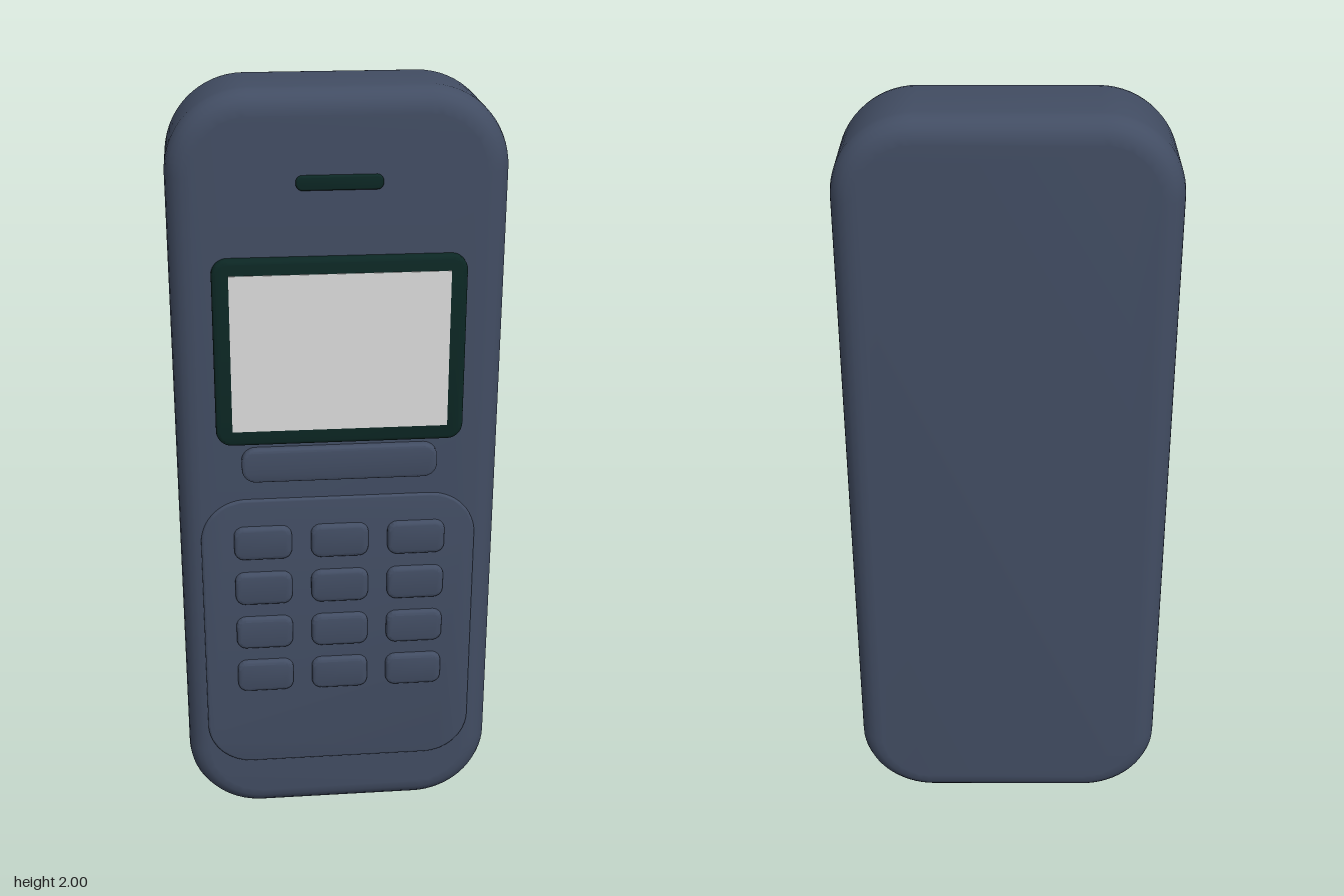
import * as THREE from 'three';
import { toCreasedNormals } from 'three/addons/utils/BufferGeometryUtils.js';

const shell = new THREE.MeshStandardMaterial({ color: 0x424d63 });
shell.name = 'slate blue shell';
const trim = new THREE.MeshStandardMaterial({ color: 0x0c2724 });
trim.name = 'dark green trim';
const glass = new THREE.MeshStandardMaterial({ color: 0xdcdcdc });
glass.name = 'pale grey screen';

// Rounded rectangle centred on the origin
function roundedRect(w, h, r) {
  const s = new THREE.Shape();
  const x = w / 2, y = h / 2;
  s.absarc(x - r, y - r, r, 0, Math.PI / 2);
  s.absarc(-x + r, y - r, r, Math.PI / 2, Math.PI);
  s.absarc(-x + r, -y + r, r, Math.PI, Math.PI * 1.5);
  s.absarc(x - r, -y + r, r, Math.PI * 1.5, Math.PI * 2);
  s.closePath();
  return s;
}

// Soft-edged slab from z0 to z1, with its centre at x, y
function slab(name, material, x, y, w, h, r, z0, z1, bevel, segments = 3) {
  const geo = new THREE.ExtrudeGeometry(roundedRect(w - 2 * bevel, h - 2 * bevel, r - bevel), {
    depth: z1 - z0 - 2 * bevel,
    bevelEnabled: true,
    bevelSize: bevel,
    bevelThickness: bevel,
    bevelSegments: segments,
    curveSegments: 8,
  });
  geo.translate(x, y, z0 + bevel);
  const mesh = new THREE.Mesh(toCreasedNormals(geo, 0.7), material);
  mesh.name = name;
  return mesh;
}

export function createModel() {
  const phone = new THREE.Group();
  phone.name = 'mobilePhone';

  // Main casing
  phone.add(slab('body', shell, 0, 1, 0.828, 2, 0.2, -0.17, 0.14, 0.058, 5));

  // Earpiece slot
  phone.add(slab('earpiece', trim, 0, 1.784, 0.21, 0.036, 0.016, 0.12, 0.15, 0.005));

  // Display frame and screen
  phone.add(slab('screenFrame', trim, 0, 1.364, 0.624, 0.482, 0.04, 0.12, 0.165, 0.01));
  const screen = new THREE.Mesh(new THREE.BoxGeometry(0.542, 0.404, 0.004), glass);
  screen.name = 'screen';
  screen.position.set(0, 1.365, 0.165);
  phone.add(screen);

  // Wide key below the display
  phone.add(slab('menuKey', shell, 0, 1.064, 0.5, 0.09, 0.036, 0.12, 0.164, 0.008));

  // Raised keypad panel
  phone.add(slab('keypadPanel', shell, -0.002, 0.564, 0.716, 0.8, 0.12, 0.1, 0.149, 0.006));

  // Four rows of three keys
  const keys = new THREE.Group();
  keys.name = 'keypad';
  for (let row = 0; row < 4; row++) {
    for (let col = -1; col <= 1; col++) {
      keys.add(slab('key', shell, col * 0.2, 0.844 - row * 0.133, 0.15, 0.092, 0.026, 0.12, 0.165, 0.01));
    }
  }
  phone.add(keys);

  return phone;
}
